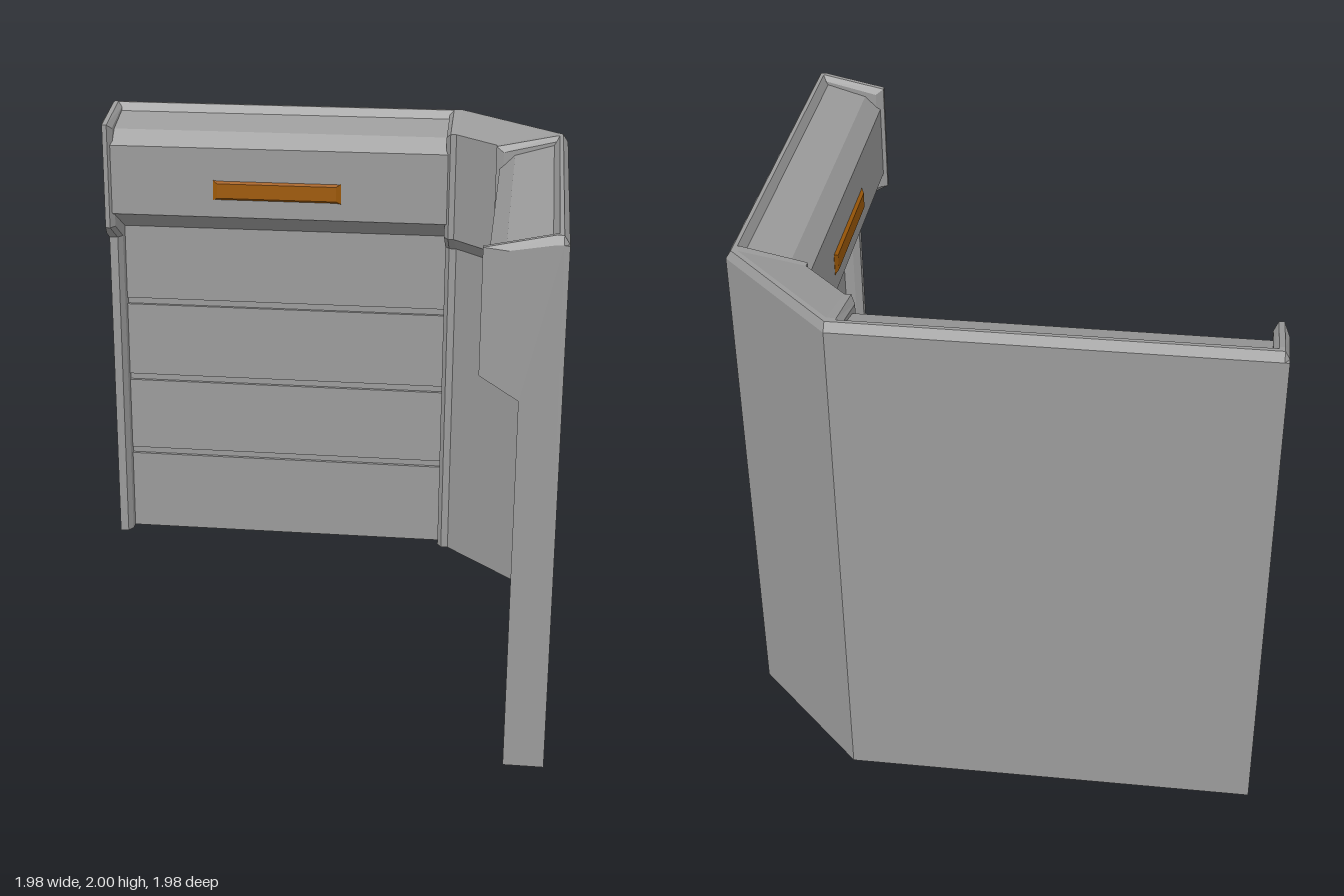
import * as THREE from 'three';

const EDGE = 0.989;  // outer plane of both walls

// Where the straight walls meet the diagonal corner, by depth.
const joint = (d) => 0.545 - 0.045 * d;

// Profiles as [depth from the outer plane, height], counter-clockwise.
const ribProfile = (inset = 0, drop = 0) => [
  [0, 0], [0.148 - inset, 0], [0.148 - inset, 1.42], [0.285 - inset, 1.5],
  [0.285 - inset, 1.95 - drop], [0.045, 2 - drop], [0.02, 2 - drop], [0, 1.968],
];

// Outer end of a rib, with its upper front corner and top cut back
const ribEndProfile = [
  [0, 0], [0.148, 0], [0.148, 1.42], [0.2, 1.452],
  [0.2, 1.945], [0.045, 1.97], [0.02, 1.97], [0, 1.968],
];

function panelProfile() {
  const face = 0.075, groove = 0.06;
  const p = [[0, 0], [face, 0]];
  for (const y of [0.365, 0.727, 1.09]) {
    p.push([face, y], [groove, y], [groove, y + 0.03], [face, y + 0.03]);
  }
  p.push([face, 1.455], [0.27, 1.56], [0.27, 1.86], [0.21, 1.92],
    [0.055, 1.965], [0.035, 2], [0.02, 2], [0, 1.968]);
  return p;
}

// Bevelled bar profile; front is how far the face stands out.
const barProfile = (front, bevel) => [
  [0.25, 1.633], [0.265, 1.633], [front, 1.633 + bevel],
  [front, 1.722 - bevel], [0.265, 1.722], [0.25, 1.722],
];

// Skins a list of { profile, at } sections, where at(d) gives [x, z], and caps the ends.
function loft(sections, mirrored) {
  const n = sections[0].profile.length;
  const pos = [], index = [];
  for (const { profile, at } of sections) {
    for (const [d, y] of profile) {
      const [x, z] = at(d);
      if (mirrored) pos.push(-z, y, -x);
      else pos.push(x, y, z);
    }
  }
  const tri = (a, b, c) => (mirrored ? index.push(a, c, b) : index.push(a, b, c));
  for (let s = 0; s < sections.length - 1; s++) {
    for (let i = 0; i < n; i++) {
      const j = (i + 1) % n, a = s * n, b = a + n;
      tri(a + i, b + i, b + j);
      tri(a + i, b + j, a + j);
    }
  }
  const cap = (s, flip) => {
    const outline = sections[s].profile.map(([d, y]) => new THREE.Vector2(d, y));
    for (const [a, b, c] of THREE.ShapeUtils.triangulateShape(outline, [])) {
      const o = s * n;
      if (flip) tri(o + a, o + c, o + b);
      else tri(o + a, o + b, o + c);
    }
  };
  cap(0, false);
  cap(sections.length - 1, true);
  const geo = new THREE.BufferGeometry();
  geo.setAttribute('position', new THREE.Float32BufferAttribute(pos, 3));
  geo.setIndex(index);
  const flat = geo.toNonIndexed();
  flat.computeVertexNormals();
  return flat;
}

// Section across the back wall at a given x.
const across = (x, profile) => ({ profile, at: (d) => [x, -EDGE + d] });

// Section along the joint with the corner.
const jointSection = { profile: ribProfile(), at: (d) => [joint(d), -EDGE + d] };

export function createModel() {
  const group = new THREE.Group();
  const grey = new THREE.MeshStandardMaterial({ color: 0x9b9b9b, flatShading: true });
  const amber = new THREE.MeshStandardMaterial({ color: 0x9f5a08, flatShading: true });

  // One straight wall; the mirrored copy swaps it across the corner diagonal.
  function makeWall(name, mirrored) {
    const wall = new THREE.Group();
    wall.name = name;
    const add = (part, sections, material = grey) => {
      const mesh = new THREE.Mesh(loft(sections, mirrored), material);
      mesh.name = part;
      wall.add(mesh);
    };

    // Grooved lower panel with overhanging upper casing
    add('wallPanel', [across(-0.96, panelProfile()), across(0.515, panelProfile())]);

    // Chamfered rib at the free end
    add('endRib', [
      across(-EDGE, ribEndProfile), across(-0.972, ribProfile()),
      across(-0.952, ribProfile()), across(-0.935, ribProfile(0.03, 0.02)),
    ]);

    // Chamfered rib beside the corner
    add('cornerRib', [
      across(0.49, ribProfile(0.03, 0.02)), across(0.508, ribProfile()), jointSection,
    ]);

    // Bevelled light bar
    add('lightBar', [
      across(-0.5, barProfile(0.271, 0.001)), across(-0.48, barProfile(0.282, 0.013)),
      across(0.03, barProfile(0.282, 0.013)), across(0.05, barProfile(0.271, 0.001)),
    ], amber);
    return wall;
  }

  group.add(makeWall('backWall', false), makeWall('sideWall', true));

  // Diagonal corner joining both walls
  const corner = new THREE.Mesh(loft([
    jointSection,
    { profile: ribProfile(), at: (d) => [EDGE - d, -joint(d)] },
  ], false), grey);
  corner.name = 'cornerPillar';
  group.add(corner);

  return group;
}
